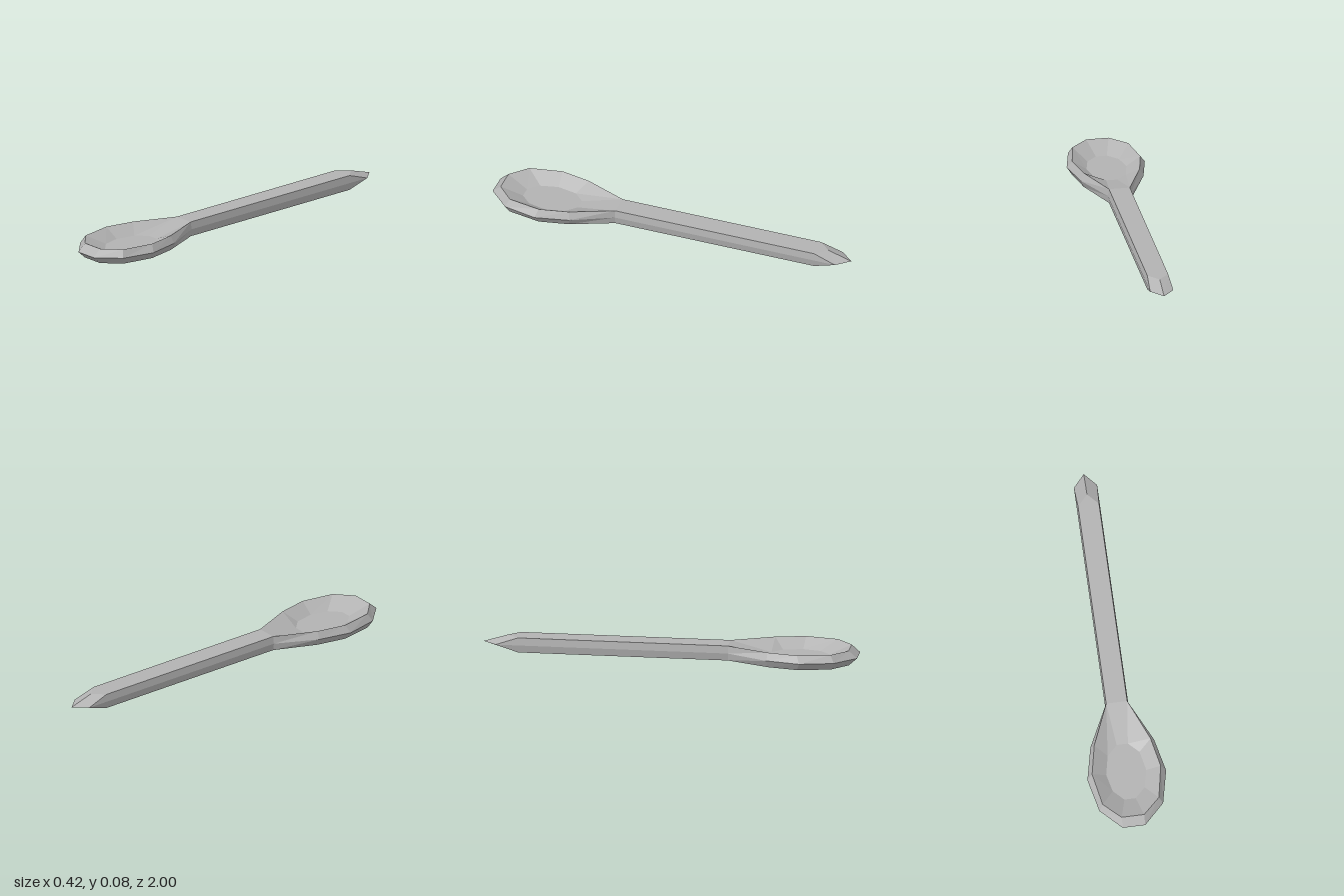
import * as THREE from 'three';

// Right-hand outlines as [x, z], from the bowl's front edge to the neck
const HEAD_MID = [[0.06, 1], [0.17, 0.89], [0.21, 0.71], [0.17, 0.53], [0.062, 0.31]];
const HEAD_RIM = [[0.06, 0.955], [0.15, 0.87], [0.183, 0.695], [0.15, 0.535], [0.056, 0.31]];
const FLOOR = [[0.03, 0.84], [0.085, 0.785], [0.107, 0.69], [0.085, 0.585], [0.03, 0.53]];
// Handle end: shoulder, then point
const END_MID = [[0.062, -0.93], [0, -1]];
const END_RIM = [[0.056, -0.81], [0, -0.87]];

// Mirror a half outline into a full loop at height y, counterclockwise from above
function loop(half, y) {
  const left = half.filter(([x]) => x > 0).reverse().map(([x, z]) => [-x, z]);
  return [...half, ...left].map(([x, z]) => new THREE.Vector3(x, y, z));
}

// Faces joining two matching loops
function band(a, b) {
  return a.flatMap((p, i) => {
    const j = (i + 1) % a.length;
    return [p, a[j], b[j], p, b[j], b[i]];
  });
}

// Flat fan over a convex loop
function fan(pts) {
  const out = [];
  for (let i = 1; i < pts.length - 1; i++) out.push(pts[0], pts[i], pts[i + 1]);
  return out;
}

export function createModel() {
  const metal = new THREE.MeshStandardMaterial({ color: 0xb2b2b2 });
  metal.flatShading = true;
  const group = new THREE.Group();
  group.name = 'spoon';

  const add = (name, points) => {
    const geometry = new THREE.BufferGeometry().setFromPoints(points);
    geometry.computeVertexNormals();
    const mesh = new THREE.Mesh(geometry, metal);
    mesh.name = name;
    group.add(mesh);
  };

  const rimHalf = [...HEAD_RIM, ...END_RIM];
  const base = loop(rimHalf, 0);
  const middle = loop([...HEAD_MID, ...END_MID], 0.04);
  const top = loop(rimHalf, 0.08);
  const headBase = loop(HEAD_RIM, 0);
  const headRim = loop(HEAD_RIM, 0.08);
  const floor = loop(FLOOR, 0.03);
  const handle = (ring) => ring.slice(4, 9);

  // Bevelled side walls around the whole spoon
  add('sides', [...band(base, middle), ...band(middle, top)]);
  // Hollow of the bowl
  add('bowlWalls', band(headRim, floor));
  add('bowlFloor', fan(floor));
  add('handleTop', fan(handle(top)));
  // Flat underside
  add('bowlUnderside', fan(headBase.reverse()));
  add('handleUnderside', fan(handle(base).reverse()));

  return group;
}
